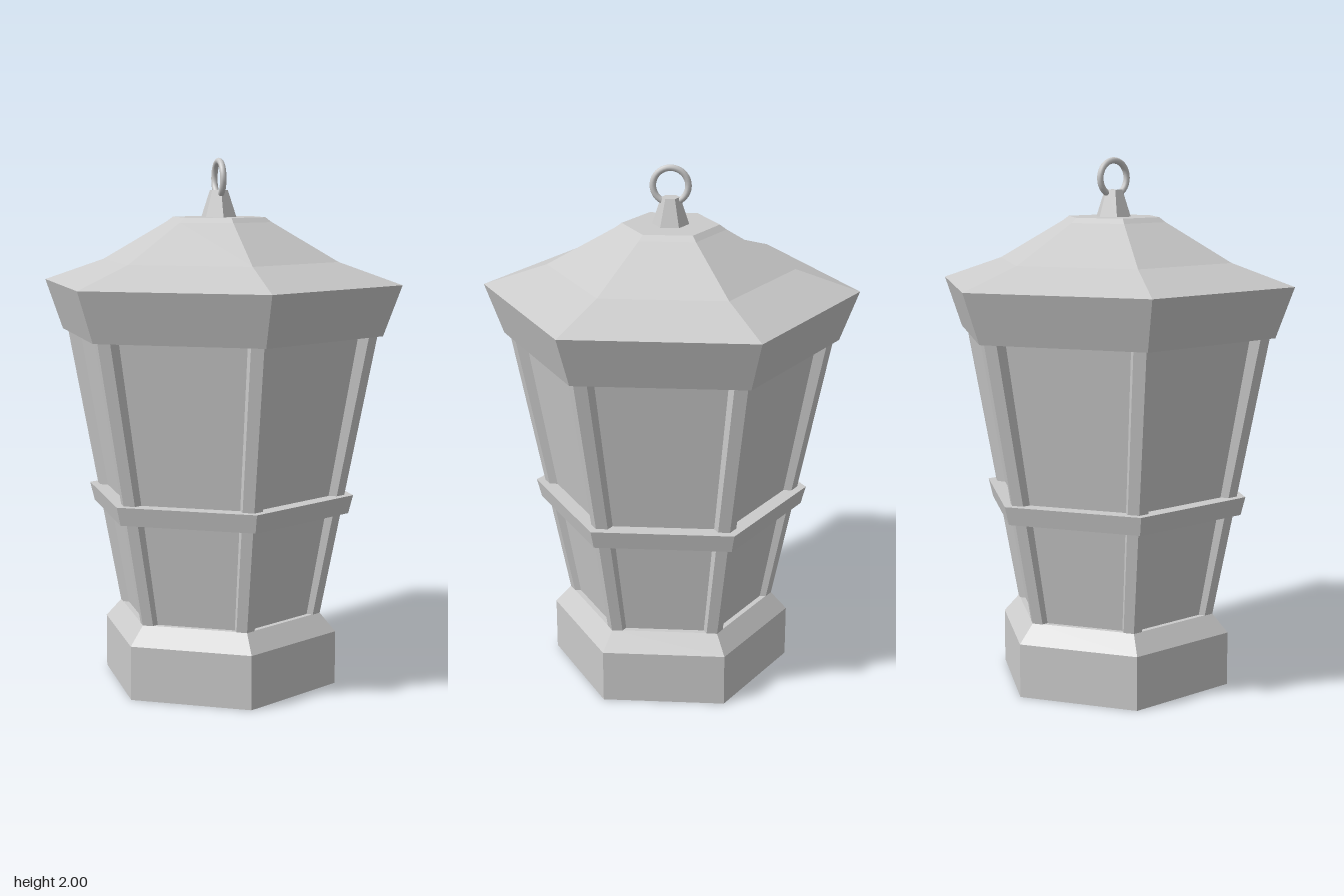
import * as THREE from 'three';

const SIDES = 6;
const material = new THREE.MeshStandardMaterial({ color: 0xcccccc, flatShading: true });

// Six-sided solid from [corner radius, height] pairs, listed bottom to top
function hexSolid(name, profile) {
  const points = profile.map(([r, y]) => new THREE.Vector2(r, y));
  const mesh = new THREE.Mesh(new THREE.LatheGeometry(points, SIDES), material);
  mesh.name = name;
  return mesh;
}

// Tapered hexagonal post, sheared outward to follow the flaring body
function cornerPost(y0, y1, axis0, axis1) {
  const geometry = new THREE.CylinderGeometry(0.048, 0.04, y1 - y0, SIDES);
  geometry.translate(0, (y0 + y1) / 2, 0);
  const p = geometry.attributes.position;
  for (let i = 0; i < p.count; i++) {
    const t = (p.getY(i) - y0) / (y1 - y0);
    p.setZ(i, p.getZ(i) + THREE.MathUtils.lerp(axis0, axis1, t));
  }
  geometry.computeVertexNormals();
  return new THREE.Mesh(geometry, material);
}

export function createModel() {
  const lantern = new THREE.Group();
  lantern.name = 'lantern';

  // Stepped base, glass body, middle band
  lantern.add(hexSolid('base', [[0, 0], [0.462, 0], [0.462, 0.205], [0.4, 0.275], [0, 0.275]]));
  lantern.add(hexSolid('glassPanels', [[0.376, 0.27], [0.569, 1.35]]));
  lantern.add(hexSolid('middleBand', [[0.36, 0.67], [0.507, 0.67], [0.525, 0.74], [0.36, 0.74]]));

  // Posts at the six corners
  const posts = new THREE.Group();
  posts.name = 'cornerPosts';
  for (let i = 0; i < SIDES; i++) {
    const post = cornerPost(0.27, 1.35, 0.36, 0.562);
    post.name = 'cornerPost';
    post.rotation.y = (i * Math.PI * 2) / SIDES;
    posts.add(post);
  }
  lantern.add(posts);

  // Flared roof with its overhanging eaves
  lantern.add(hexSolid('roof', [
    [0, 1.345], [0.63, 1.345], [0.7, 1.535], [0.46, 1.617], [0.205, 1.762], [0.18, 1.78], [0, 1.78],
  ]));

  // Finial and hanging ring
  lantern.add(hexSolid('finial', [[0.07, 1.775], [0.035, 1.88], [0, 1.88]]));
  const ringMaterial = new THREE.MeshStandardMaterial({ color: 0xcccccc });
  const ring = new THREE.Mesh(new THREE.TorusGeometry(0.065, 0.012, 10, 32), ringMaterial);
  ring.name = 'hangingRing';
  ring.position.y = 1.923;
  ring.rotation.y = Math.PI / 2;
  lantern.add(ring);

  return lantern;
}
